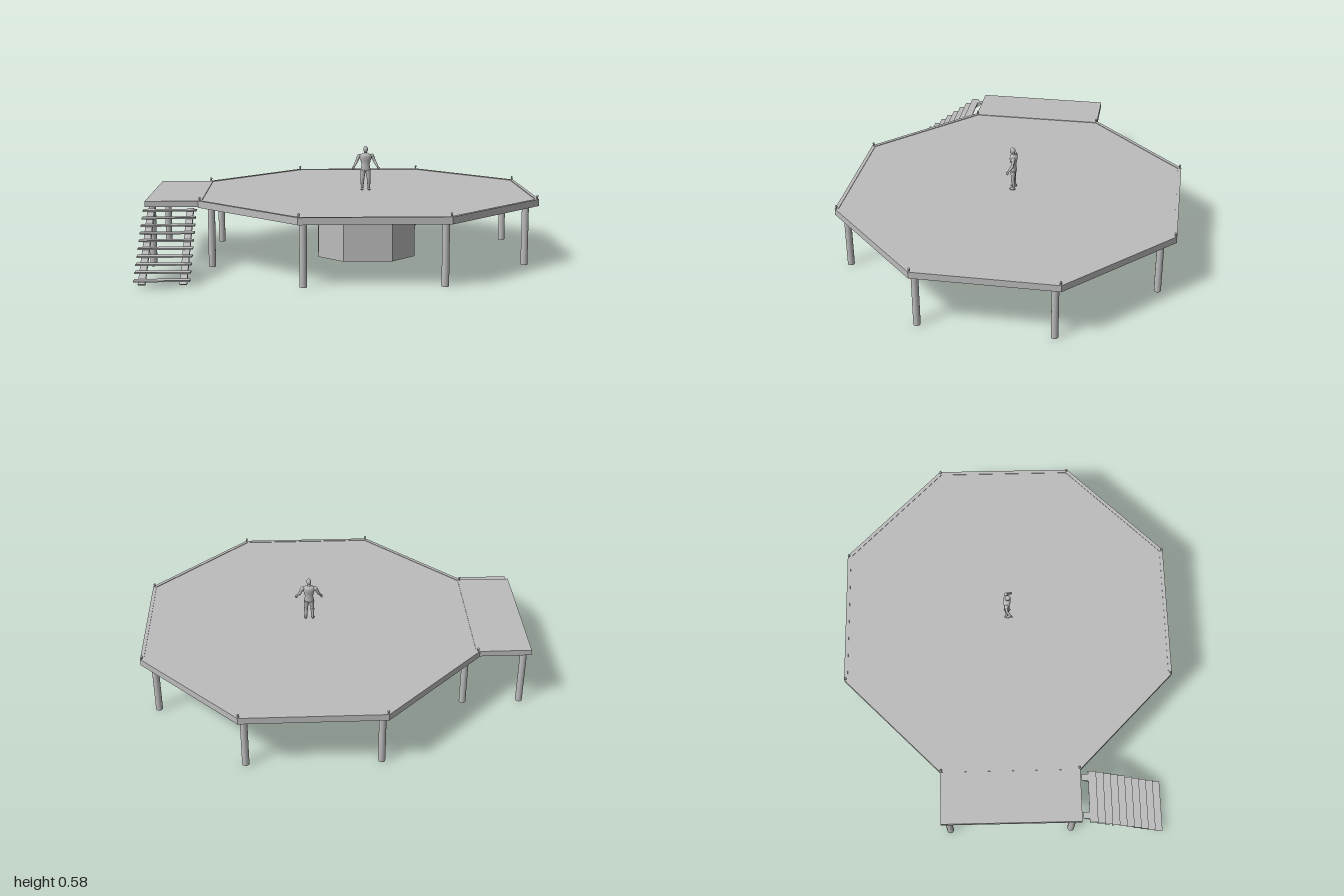
import * as THREE from 'three';

const CX = 0.13; // centre of the octagonal deck

export function createModel() {
  const model = new THREE.Group();
  const grey = new THREE.MeshStandardMaterial({ color: 0xbcbcbc });
  grey.name = 'plain grey';
  const greyOpen = new THREE.MeshStandardMaterial({ color: 0xbcbcbc, side: THREE.DoubleSide });
  greyOpen.name = 'plain grey two sided';

  const add = (name, geo, x = 0, y = 0, z = 0, parent = model, mat = grey) => {
    const m = new THREE.Mesh(geo, mat);
    m.name = name;
    m.position.set(x, y, z);
    parent.add(m);
    return m;
  };

  // Octagon corners: a = distance to a flat side, b = half the flat side
  const corners = (a, b) => [[a, b], [b, a], [-b, a], [-a, b], [-a, -b], [-b, -a], [b, -a], [a, -b]]
    .map(([x, z]) => new THREE.Vector2(x, z));
  const slab = (a, b, height, hole) => {
    const shape = new THREE.Shape(corners(a, b));
    if (hole) shape.holes.push(new THREE.Path(corners(...hole)));
    return new THREE.ExtrudeGeometry(shape, { depth: height, bevelEnabled: false }).rotateX(-Math.PI / 2);
  };

  // Deck: floor inside a slightly raised rim
  add('deckFloor', slab(0.85, 0.352, 0.02), CX, 0.317, 0);
  add('deckRim', slab(0.863, 0.358, 0.035, [0.845, 0.35]), CX, 0.305, 0);

  // Small studs on the rim corners
  for (const c of corners(0.855, 0.354)) {
    add('rimStud', new THREE.CylinderGeometry(0.004, 0.004, 0.016, 8), CX + c.x, 0.345, c.y);
    add('rimStudCap', new THREE.SphereGeometry(0.006, 8, 6), CX + c.x, 0.354, c.y);
  }

  // Landing beside the deck
  add('landing', new THREE.BoxGeometry(0.268, 0.03, 0.716), -0.866, 0.324, 0);

  // Support posts
  const post = new THREE.CylinderGeometry(0.018, 0.018, 0.317, 16);
  for (const c of corners(0.797, 0.334)) add('deckPost', post, CX + c.x, 0.1585, c.y + 0.011);
  for (const z of [0.317, -0.322]) add('landingPost', post, -0.967, 0.1585, z);

  // Central drum, open at the bottom
  const wall = new THREE.CylinderGeometry(1, 1, 0.317, 8, 1, true).toNonIndexed();
  const ring = corners(0.255, 0.127);
  const p = wall.attributes.position;
  for (let i = 0; i < p.count; i++) {
    const k = Math.round(Math.atan2(p.getZ(i), p.getX(i)) / (Math.PI / 4));
    const c = ring[((k % 8) + 8) % 8];
    p.setXYZ(i, c.x, p.getY(i), c.y);
  }
  wall.computeVertexNormals();
  add('centralDrum', wall, CX, 0.1585, 0, model, greyOpen);
  add('drumPanel', new THREE.BoxGeometry(0.02, 0.09, 0.1), -0.135, 0.205, 0);

  // Stairs: two sloping stringers and ten thin treads
  const stairs = new THREE.Group();
  stairs.name = 'stairs';
  model.add(stairs);
  const profile = new THREE.Shape([[0.785, 0.012], [0.40, 0.306], [0.365, 0.306], [0.768, 0.004]]
    .map(([z, y]) => new THREE.Vector2(-z, y)));
  const stringer = new THREE.ExtrudeGeometry(profile, { depth: 0.034, bevelEnabled: false })
    .rotateY(Math.PI / 2);
  for (const x of [-0.98, -0.785]) add('stringer', stringer, x, 0, 0, stairs);
  for (let i = 0; i < 10; i++) {
    add('tread', new THREE.BoxGeometry(0.264, 0.007, 0.042), -0.867, 0.03 + i * 0.0303, 0.779 - i * 0.04, stairs);
  }

  // Standing figure, feet at its own origin
  const figure = new THREE.Group();
  figure.name = 'figure';
  figure.position.set(CX, 0.337, 0);
  model.add(figure);
  const limb = (name, from, to, r0, r1) => {
    const a = new THREE.Vector3(...from), b = new THREE.Vector3(...to);
    const mid = a.clone().add(b).multiplyScalar(0.5);
    const m = add(name, new THREE.CylinderGeometry(r1, r0, a.distanceTo(b), 10), mid.x, mid.y, mid.z, figure);
    m.quaternion.setFromUnitVectors(new THREE.Vector3(0, 1, 0), b.sub(a).normalize());
    add(name + 'Joint', new THREE.SphereGeometry(r1, 10, 8), ...to, figure);
  };
  const ball = (name, x, y, z, sx, sy, sz) =>
    add(name, new THREE.SphereGeometry(1, 14, 10), x, y, z, figure).scale.set(sx, sy, sz);

  const torso = [[0, 0.098], [0.022, 0.104], [0.026, 0.116], [0.021, 0.138], [0.027, 0.16],
    [0.034, 0.178], [0.03, 0.192], [0.012, 0.201], [0, 0.203]].map(([r, y]) => new THREE.Vector2(r, y));
  add('torso', new THREE.LatheGeometry(torso, 16), 0, 0, 0, figure).scale.z = 0.6;
  limb('neck', [0, 0.195, -0.003], [0, 0.212, 0.002], 0.009, 0.008);
  ball('head', 0, 0.221, 0.005, 0.0125, 0.0175, 0.015);
  for (const s of [1, -1]) {
    limb('thigh', [s * 0.013, 0.108, 0], [s * 0.017, 0.06, 0.002], 0.0145, 0.0095);
    limb('shin', [s * 0.017, 0.06, 0.002], [s * 0.018, 0.008, -0.005], 0.0105, 0.006);
    ball('foot', s * 0.019, 0.006, 0.003, 0.008, 0.006, 0.017);
    ball('shoulder', s * 0.034, 0.184, -0.003, 0.011, 0.012, 0.011);
    limb('upperArm', [s * 0.036, 0.184, -0.003], [s * 0.049, 0.154, 0], 0.0095, 0.0075);
    limb('forearm', [s * 0.049, 0.154, 0], [s * 0.063, 0.13, 0.018], 0.008, 0.005);
    ball('hand', s * 0.067, 0.122, 0.023, 0.006, 0.01, 0.007);
  }
  return model;
}
